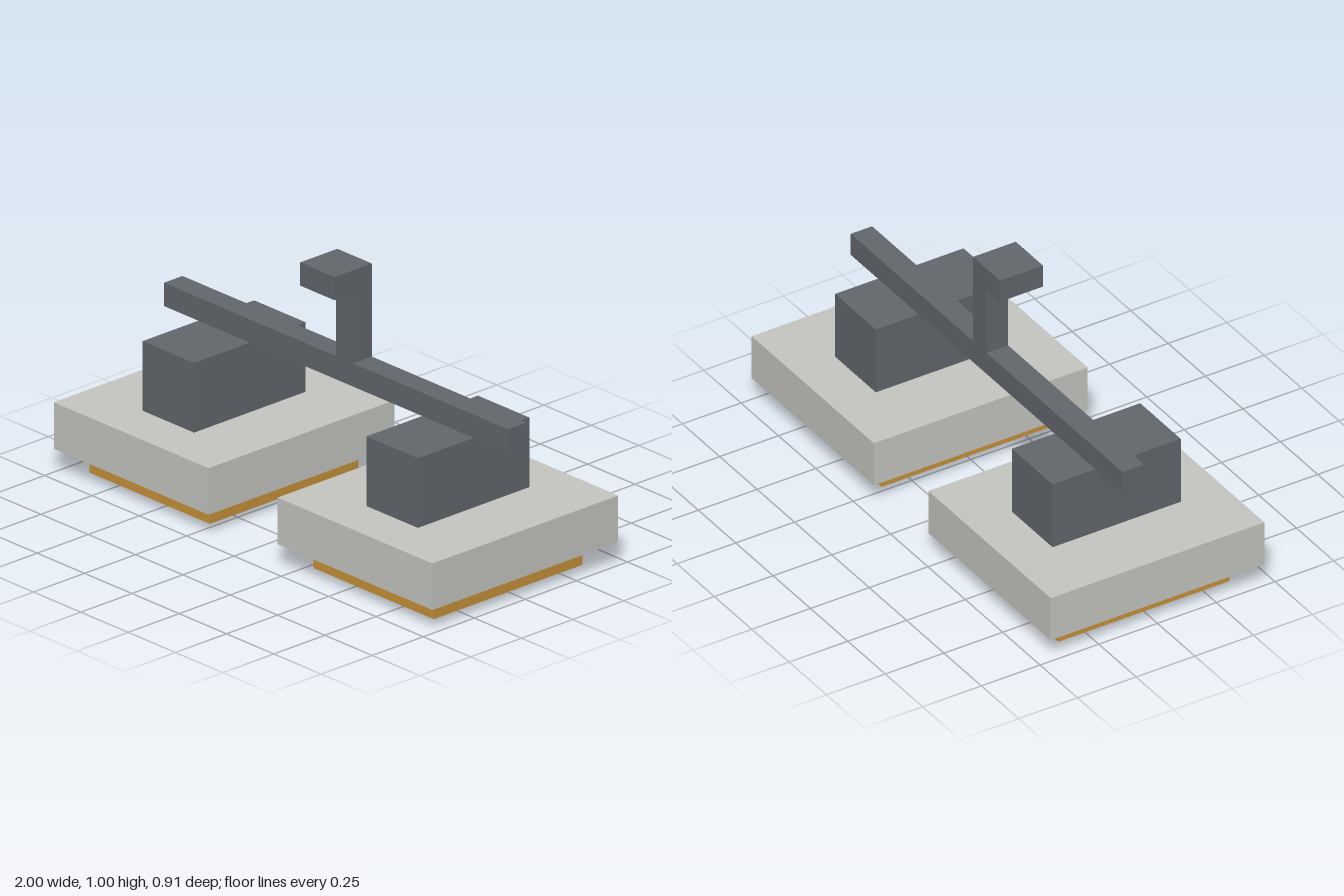
import * as THREE from 'three';

export function createModel() {
  const model = new THREE.Group();
  model.name = 'balanceBeamModel';

  const slate = new THREE.MeshStandardMaterial({ name: 'slate grey', color: 0x63686e });
  const paleGrey = new THREE.MeshStandardMaterial({ name: 'pale grey', color: 0xc7c7c2 });
  const amber = new THREE.MeshStandardMaterial({ name: 'amber', color: 0xc8933a });

  // Box given by its lower and upper corners
  function box(parent, name, material, min, max) {
    const size = max.map((v, i) => v - min[i]);
    const mesh = new THREE.Mesh(new THREE.BoxGeometry(...size), material);
    mesh.position.set(...min.map((v, i) => (v + max[i]) / 2));
    mesh.name = name;
    parent.add(mesh);
  }

  // Crossbar, post and overhanging cap
  box(model, 'crossbar', slate, [-0.909, 0.545, -0.091], [0.909, 0.636, 0]);
  box(model, 'post', slate, [0, 0.636, -0.091], [0.091, 0.909, 0]);
  box(model, 'postCap', slate, [-0.091, 0.909, -0.091], [0.091, 1, 0.091]);

  // Two mirrored feet hanging under the bar
  for (const side of [1, -1]) {
    const foot = new THREE.Group();
    foot.name = side > 0 ? 'leftFoot' : 'rightFoot';
    const part = (name, material, x0, x1, y0, y1, z) => {
      const xs = [side * x0, side * x1].sort((a, b) => a - b);
      box(foot, name, material, [xs[0], y0, -z], [xs[1], y1, z]);
    };
    part('upperBlock', slate, 0.455, 0.727, 0.273, 0.545, 0.273);
    part('slab', paleGrey, 0.182, 1, 0.091, 0.273, 0.455);
    part('connector', slate, 0.545, 0.727, 0.082, 0.091, 0.091);
    part('basePad', amber, 0.273, 0.909, 0, 0.082, 0.364);
    model.add(foot);
  }

  return model;
}
